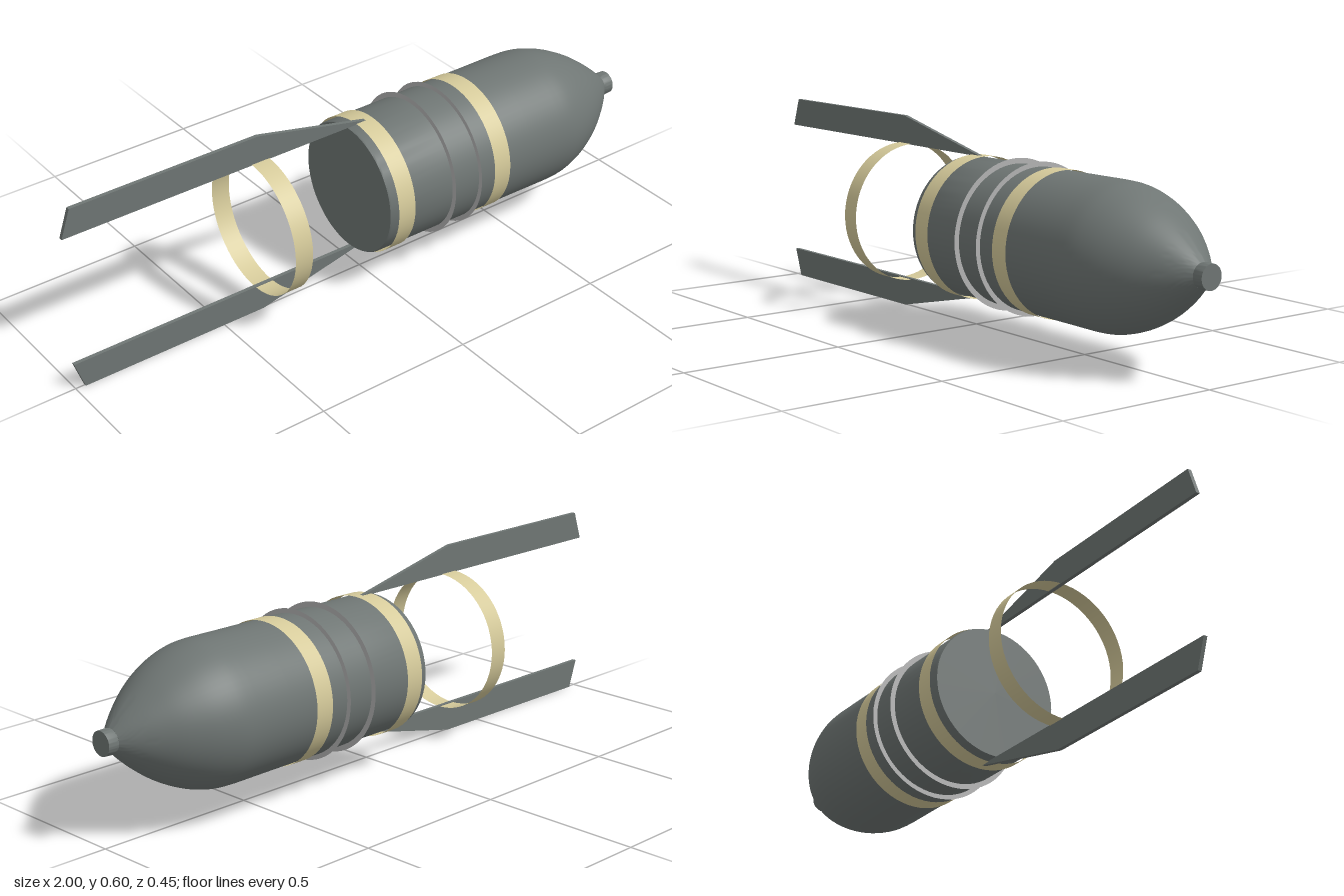
import * as THREE from 'three';
import { toCreasedNormals } from 'three/addons/utils/BufferGeometryUtils.js';

const AXIS_Y = 0.3;

function material(name, color, side = THREE.FrontSide) {
  const m = new THREE.MeshStandardMaterial({ color, side });
  m.name = name;
  return m;
}

export function createModel() {
  const model = new THREE.Group();
  model.name = 'finnedShell';
  const steel = material('steelGrey', 0x6f7674);
  const cream = material('creamBand', 0xd6cb9b, THREE.DoubleSide);
  const light = material('lightGrey', 0xb4b4b4, THREE.DoubleSide);

  const add = (name, geometry, mat) => {
    const mesh = new THREE.Mesh(geometry, mat);
    mesh.name = name;
    model.add(mesh);
    return mesh;
  };

  // Revolve [x, radius] pairs about the long axis
  const revolve = (pairs) => {
    const g = new THREE.LatheGeometry(pairs.map(([x, r]) => new THREE.Vector2(r, x)), 64);
    return toCreasedNormals(g.rotateZ(-Math.PI / 2).translate(0, AXIS_Y, 0), 0.6);
  };

  // Body with flat tail and curved nose
  const nose = new THREE.SplineCurve([
    [0.62, 0.213], [0.68, 0.209], [0.75, 0.189], [0.82, 0.154], [0.88, 0.112], [0.93, 0.07], [0.966, 0.035],
  ].map(([x, r]) => new THREE.Vector2(x, r))).getPoints(24).map((p) => [p.x, p.y]);
  add('body', revolve([
    [-0.04, 0], [-0.04, 0.205], [-0.035, 0.208], [0.2, 0.209], [0.3, 0.211], [0.5, 0.212], ...nose, [0.966, 0],
  ]), steel);

  // Nose fuze cap
  add('noseCap', revolve([[0.962, 0], [0.962, 0.034], [0.975, 0.037], [1, 0.036], [1, 0]]), steel);

  // Two bands on the body and one free band between the fins
  const bands = { tailBand: 0.015, frontBand: 0.38, looseBand: -0.355 };
  for (const [name, x] of Object.entries(bands)) {
    const g = new THREE.CylinderGeometry(0.2145, 0.2145, 0.06, 64, 1, true);
    add(name, g.rotateZ(-Math.PI / 2).translate(x, AXIS_Y, 0), cream);
  }

  // Thin flat collars around the middle
  for (const [name, x] of [['rearCollar', 0.19], ['frontCollar', 0.29]]) {
    add(name, new THREE.RingGeometry(0.209, 0.225, 64).rotateY(Math.PI / 2).translate(x, AXIS_Y, 0), light);
  }

  // Mirrored tail fins
  for (const [name, s] of [['topFin', 1], ['bottomFin', -1]]) {
    const outline = [[-1, 0.212], [0.03, 0.212], [-0.36, 0.3], [-0.97, 0.3]];
    const shape = new THREE.Shape(outline.map(([x, y]) => new THREE.Vector2(x, s * y)));
    const g = new THREE.ExtrudeGeometry(shape, { depth: 0.012, bevelEnabled: false });
    add(name, g.translate(0, AXIS_Y, -0.006), steel);
  }
  return model;
}
